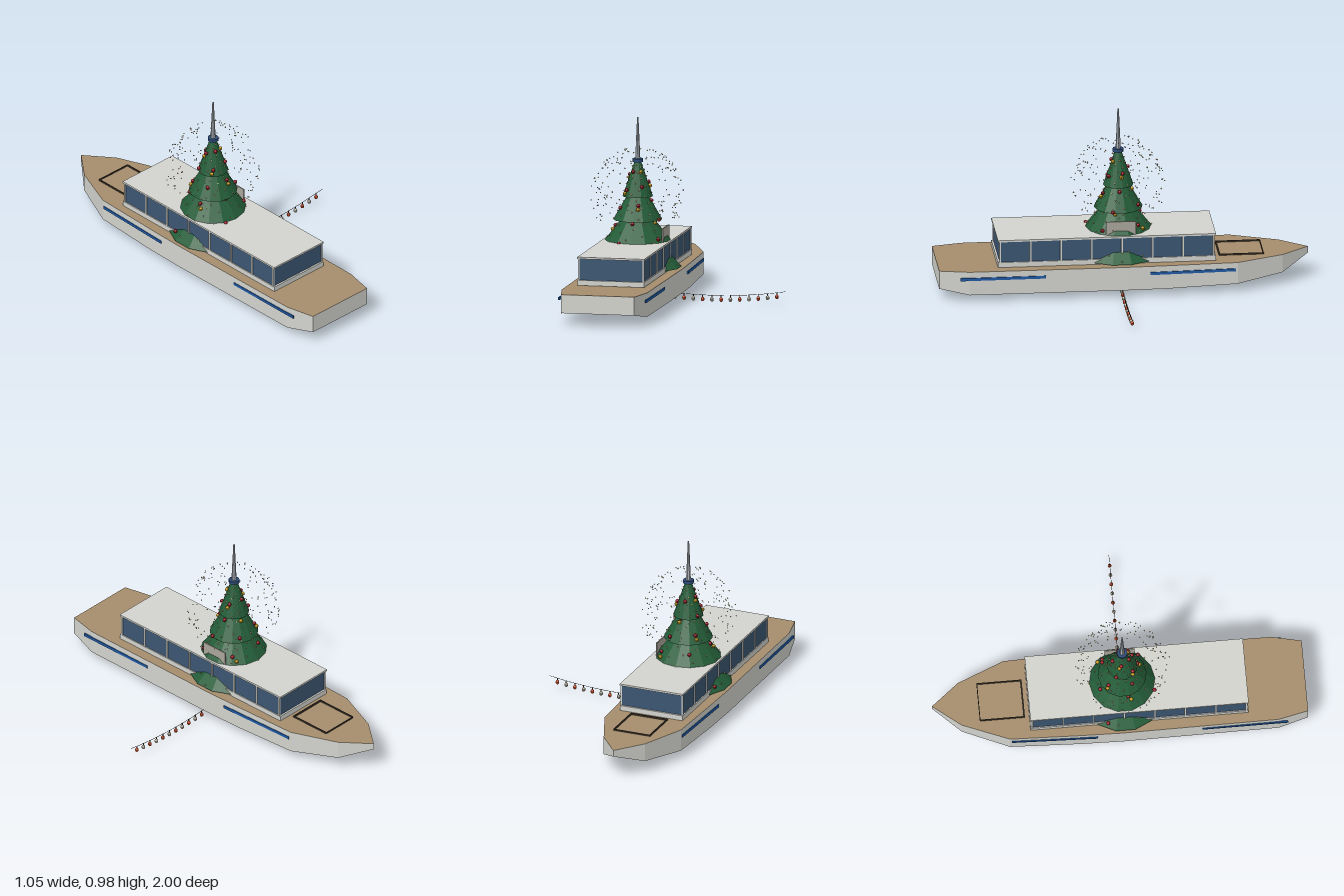
import * as THREE from 'three';

const CX = -0.28; // centre line of the boat
const TZ = 0.02;  // tree axis along the boat

const paint = (color, extra = {}) => new THREE.MeshStandardMaterial({ color, flatShading: true, ...extra });
const white = paint(0xd3d3ce), wall = paint(0xd3d3ce, { side: THREE.DoubleSide });
const brown = paint(0xa58d6c, { side: THREE.DoubleSide }), glass = paint(0x3b5672);
const green = paint(0x235c38, { side: THREE.DoubleSide }), blue = paint(0x1f5aa6);
const navy = paint(0x2c4a78), metal = paint(0xa9afb5), dark = paint(0x3a3128);
const red = paint(0xa01c28), gold = paint(0xc79a1e), cream = paint(0xd8c48a);
const orange = paint(0xd2512a), black = paint(0x1c1c1e), yellow = paint(0xe0b020);

function add(parent, name, geometry, material, x = 0, y = 0, z = 0) {
  const mesh = new THREE.Mesh(geometry, material);
  mesh.name = name;
  mesh.position.set(x, y, z);
  parent.add(mesh);
  return mesh;
}
const box = (parent, name, mat, w, h, d, x, y, z) =>
  add(parent, name, new THREE.BoxGeometry(w, h, d), mat, x, y, z);

let seed = 7;
const random = () => (seed = (seed * 16807) % 2147483647) / 2147483647;

// Hull stations: z, half width, keel height
const DECK = 0.175;
const stations = [
  [1, 0.2, 0.075], [0.84, 0.235, 0.045], [0, 0.24, 0.045], [-0.22, 0.235, 0.045],
  [-0.6, 0.222, 0.055], [-0.85, 0.12, 0.075], [-1, 0, 0.14]];

function buildHull(boat) {
  const rim = [...stations.map(([z, w, y]) => [w, y, z]),
    ...stations.slice(0, -1).reverse().map(([z, w, y]) => [-w, y, z])];
  const pos = [];
  rim.forEach(([x, y, z], i) => {
    const [x2, y2, z2] = rim[(i + 1) % rim.length];
    pos.push(x, y, z, x2, y2, z2, x2, DECK, z2, x, y, z, x2, DECK, z2, x, DECK, z);
  });
  const geo = new THREE.BufferGeometry();
  geo.setAttribute('position', new THREE.Float32BufferAttribute(pos, 3));
  geo.computeVertexNormals();
  add(boat, 'hullWalls', geo, wall);

  const outline = new THREE.Shape(rim.map(([x, , z]) => new THREE.Vector2(x, -z)));
  add(boat, 'deck', new THREE.ShapeGeometry(outline).rotateX(-Math.PI / 2), brown, 0, DECK, 0);

  // Blue stripes along both sides
  for (const s of [-1, 1]) {
    box(boat, 'sternStripe', blue, 0.008, 0.015, 0.46, s * 0.237, 0.135, 0.66);
    const bow = box(boat, 'bowStripe', blue, 0.008, 0.015, 0.46, s * 0.231, 0.135, -0.36);
    bow.rotation.y = s * 0.034;
  }

  // Low frame on the foredeck
  for (const s of [-1, 1]) box(boat, 'foredeckRail', dark, 0.006, 0.008, 0.24, s * 0.104, 0.181, -0.63);
  box(boat, 'foredeckBar', dark, 0.208, 0.008, 0.004, 0, 0.181, -0.75);
  box(boat, 'foredeckBar', dark, 0.208, 0.008, 0.008, 0, 0.181, -0.514);
}

function buildCabin(boat) {
  const cabin = new THREE.Group();
  cabin.name = 'cabin';
  cabin.position.z = 0.098;
  boat.add(cabin);
  box(cabin, 'cabinBase', white, 0.364, 0.028, 1.17, 0, 0.191, 0);
  box(cabin, 'cabinWindows', glass, 0.352, 0.116, 1.15, 0, 0.263, 0);
  box(cabin, 'cabinRoof', white, 0.366, 0.01, 1.17, 0, 0.325, 0);
  for (const s of [-1, 1])
    for (let i = 0; i <= 7; i++)
      box(cabin, 'windowPost', white, 0.008, 0.116, 0.01, s * 0.177, 0.263, -0.573 + i * 0.1637);
}

// Tree tiers: bottom y, bottom radius, top y, top radius
const tiers = [
  [0.185, 0.235, 0.3, 0.12], [0.325, 0.18, 0.445, 0.086],
  [0.44, 0.131, 0.57, 0.056], [0.565, 0.081, 0.75, 0.018]];

function treeRadius(y) {
  const [y0, r0, y1, r1] = [...tiers].reverse().find(t => y >= t[0]) ?? tiers[0];
  return r0 + (r1 - r0) * Math.min(1, (y - y0) / (y1 - y0));
}

function buildTree(boat) {
  const tree = new THREE.Group();
  tree.name = 'tree';
  tree.position.z = TZ;
  boat.add(tree);
  for (const [y0, r0, y1, r1] of tiers)
    add(tree, 'treeTier', new THREE.CylinderGeometry(r1, r0, y1 - y0, 14), green, 0, (y0 + y1) / 2, 0);

  // Collar and spire
  add(tree, 'spireFoot', new THREE.CylinderGeometry(0.014, 0.02, 0.03, 12), metal, 0, 0.745, 0);
  add(tree, 'spireCollar', new THREE.CylinderGeometry(0.029, 0.029, 0.018, 12), navy, 0, 0.759, 0);
  add(tree, 'spire', new THREE.CylinderGeometry(0.004, 0.014, 0.225, 8), metal, 0, 0.878, 0);

  // Blank board on the left side
  box(tree, 'board', paint(0xaaa69c), 0.006, 0.075, 0.16, 0.152, 0.367, 0);

  // Two spirals of baubles
  const ball = new THREE.SphereGeometry(0.0105, 10, 8);
  for (let i = 0; i < 26; i++) {
    const y = 0.7 - i * 0.0195;
    const place = (name, mat, a) => {
      const r = treeRadius(y) + 0.004;
      add(tree, name, ball, mat, r * Math.cos(a), y, r * Math.sin(a));
    };
    place('redBauble', red, 2 + i * 1.32);
    if (i % 2 === 0) place('goldBauble', gold, 0.9 + i * 1.3);
  }

  // Small lights on the branches
  const spark = new THREE.OctahedronGeometry(0.005);
  for (let i = 0; i < 130; i++) {
    const y = 0.2 + 0.54 * Math.pow(i / 130, 1.1), a = i * 2.4, r = treeRadius(y) + 0.003;
    add(tree, 'treeLight', spark, cream, r * Math.cos(a), y, r * Math.sin(a));
  }

  // Halo of drifting sparks
  const mote = new THREE.OctahedronGeometry(0.0045);
  for (let i = 0; i < 190; i++) {
    const a = random() * Math.PI * 2, y = 0.44 + random() * 0.38;
    const r = Math.sqrt(Math.max(0.006, 0.067 - (y - 0.57) ** 2)) * (0.84 + random() * 0.16);
    add(tree, 'haloSpark', mote, i % 3 ? cream : metal, r * Math.cos(a), y, r * Math.sin(a));
  }
}

// Small craft and gear sheltered under the deck
function buildUnderDeck(boat) {
  const gear = new THREE.Group();
  gear.name = 'underDeckGear';
  boat.add(gear);
  const body = add(gear, 'slimBody', new THREE.SphereGeometry(1, 8, 6), orange, 0.02, 0.09, 0);
  body.scale.set(0.026, 0.022, 0.25);
  box(gear, 'bluePod', blue, 0.07, 0.03, 0.09, 0.05, 0.13, 0.02);
  box(gear, 'bluePod', blue, 0.05, 0.03, 0.07, -0.05, 0.13, -0.05);
  box(gear, 'greyBlock', metal, 0.06, 0.04, 0.08, -0.08, 0.135, 0);
  box(gear, 'greyBlock', metal, 0.06, 0.04, 0.08, 0.11, 0.135, 0.06);
  box(gear, 'yellowPlate', yellow, 0.14, 0.004, 0.1, 0.03, 0.165, -0.22);
  box(gear, 'yellowPanel', yellow, 0.14, 0.06, 0.006, 0.03, 0.14, -0.17);
  for (const z of [-0.02, 0.03, 0.08]) box(gear, 'yellowPost', yellow, 0.012, 0.08, 0.012, 0.13, 0.135, z - 0.08);
  const wheel = new THREE.CylinderGeometry(0.022, 0.022, 0.02, 12).rotateZ(Math.PI / 2);
  for (const s of [-1, 1])
    for (const z of [-0.1, 0.1]) add(gear, 'wheel', wheel, black, 0.02 + s * 0.055, 0.105, z);
  for (const z of [-0.1, 0.1]) box(gear, 'axle', black, 0.12, 0.006, 0.006, 0.02, 0.1, z);
}

function buildLightString(group) {
  const string = new THREE.Group();
  string.name = 'lightString';
  string.position.z = TZ;
  group.add(string);
  const sag = x => 0.042 + 0.033 * ((x - 0.125) / 0.405) ** 2;
  const points = [];
  for (let i = 0; i <= 16; i++) {
    const x = -0.32 + i * 0.85 / 16;
    points.push(new THREE.Vector3(x, Math.min(0.075, sag(x)), 0));
  }
  add(string, 'wire', new THREE.TubeGeometry(new THREE.CatmullRomCurve3(points), 48, 0.0012, 5), dark);
  const bulb = new THREE.SphereGeometry(0.01, 10, 8).scale(1, 1.25, 1);
  for (let i = 0; i < 15; i++) {
    const x = -0.23 + i * 0.0508;
    add(string, 'bulb', bulb, i % 2 ? paint(0xc9c1b0) : orange, x, sag(x) - 0.0225, 0);
    box(string, 'bulbCap', dark, 0.004, 0.014, 0.004, x, sag(x) - 0.006, 0);
  }
}

export function createModel() {
  const model = new THREE.Group();
  model.name = 'treeBoat';
  const boat = new THREE.Group();
  boat.name = 'boat';
  boat.position.x = CX;
  model.add(boat);
  buildHull(boat);
  buildCabin(boat);
  buildTree(boat);
  buildUnderDeck(boat);
  buildLightString(model);
  return model;
}
